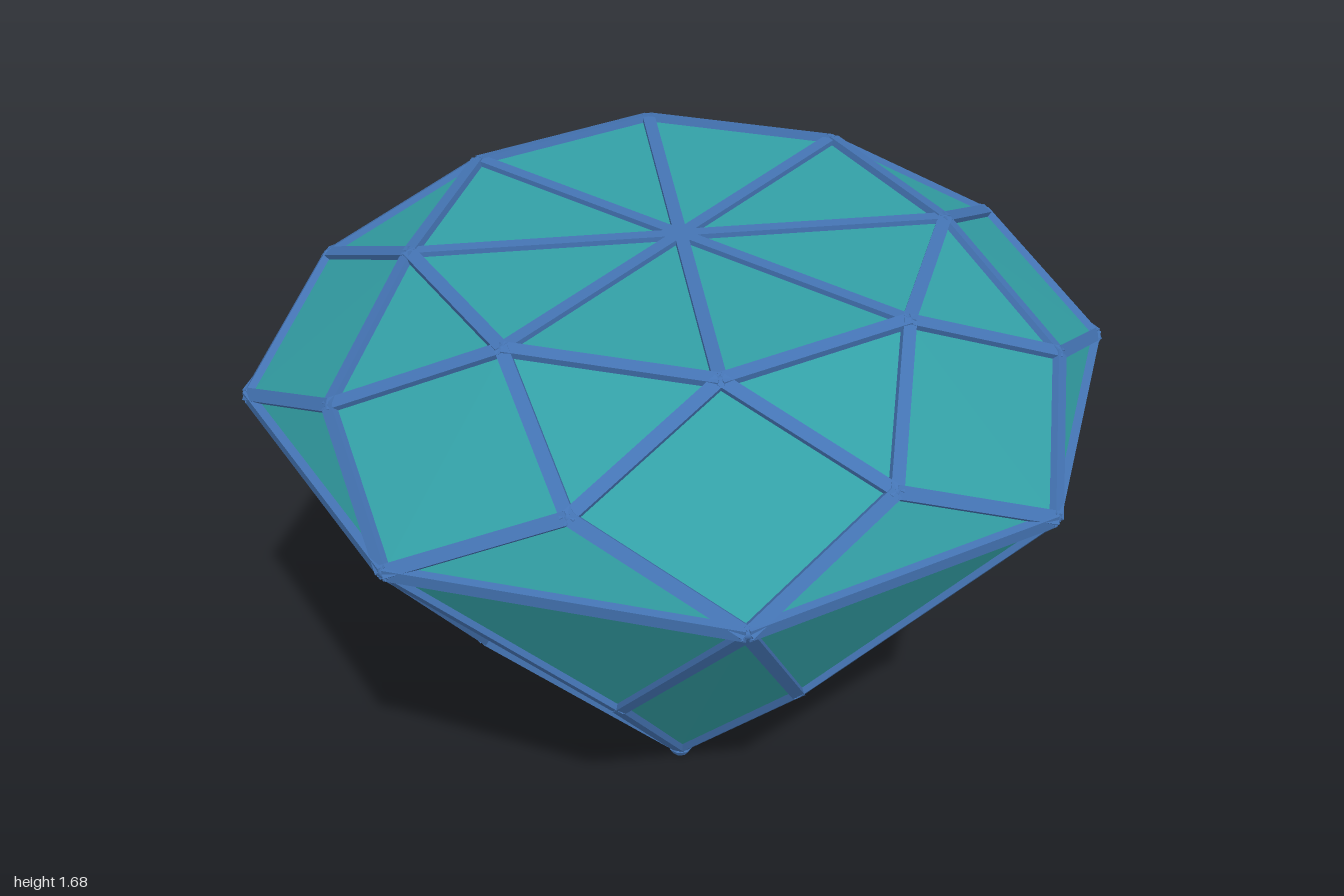
import * as THREE from 'three';

const SIDES = 8;
const STRUT_WIDTH = 0.032;
const STRUT_DEPTH = 0.026;

// Ring of eight points; shift 0.5 turns it by half a facet
function ring(radius, y, shift) {
  return Array.from({ length: SIDES }, (_, i) => {
    const a = ((i + shift) / SIDES) * Math.PI * 2;
    return new THREE.Vector3(Math.sin(a) * radius, y, Math.cos(a) * radius);
  });
}

// Outward unit normal of a facet, reversing its corners if needed
function orient(face) {
  const n = new THREE.Plane().setFromCoplanarPoints(face[0], face[1], face[2]).normal;
  if (n.dot(face[0].clone().sub(new THREE.Vector3(0, 1, 0))) < 0) {
    face.reverse();
    n.negate();
  }
  return n;
}

function facetMesh(name, faces, material) {
  const points = [];
  for (const f of faces) {
    for (let i = 1; i < f.length - 1; i++) points.push(f[0], f[i], f[i + 1]);
  }
  const geometry = new THREE.BufferGeometry().setFromPoints(points);
  geometry.computeVertexNormals();
  const mesh = new THREE.Mesh(geometry, material);
  mesh.name = name;
  return mesh;
}

// Flat bar along an edge, its broad side facing the outward direction
function strut(a, b, outward, material) {
  const along = b.clone().sub(a);
  const length = along.length();
  along.normalize();
  const out = outward.clone().addScaledVector(along, -outward.dot(along)).normalize();
  const across = new THREE.Vector3().crossVectors(along, out);
  const mesh = new THREE.Mesh(new THREE.BoxGeometry(STRUT_WIDTH, length, STRUT_DEPTH), material);
  mesh.quaternion.setFromRotationMatrix(new THREE.Matrix4().makeBasis(across, along, out));
  mesh.position.copy(a).add(b).multiplyScalar(0.5);
  mesh.name = 'edgeStrut';
  return mesh;
}

export function createModel() {
  const gemTeal = new THREE.MeshStandardMaterial({ color: 0x33a0a6 });
  gemTeal.name = 'gemTeal';
  const edgeBlue = new THREE.MeshStandardMaterial({ color: 0x4474b4 });
  edgeBlue.name = 'edgeBlue';

  const centre = new THREE.Vector3(0, 1.662, 0);
  const tip = new THREE.Vector3(0, 0.01, 0);
  const table = ring(0.648, 1.662, 0.5);
  const crown = ring(0.925, 1.48, 0);
  const girdle = ring(1.068, 1.3, 0.5);
  const lower = ring(0.583, 0.655, 0);

  // Facets of one eighth, repeated around
  const parts = { table: [], crown: [], pavilion: [] };
  for (let i = 0; i < SIDES; i++) {
    const p = (i + SIDES - 1) % SIDES;
    const n = (i + 1) % SIDES;
    parts.table.push([centre, table[p], table[i]]);
    parts.crown.push(
      [table[p], crown[i], table[i]],
      [table[i], crown[i], girdle[i], crown[n]],
      [crown[i], girdle[p], girdle[i]],
    );
    parts.pavilion.push(
      [girdle[p], lower[i], girdle[i]],
      [girdle[i], lower[i], tip, lower[n]],
    );
  }

  // Every facet border becomes one edge facing between its two facets
  const vertices = [centre, tip, ...table, ...crown, ...girdle, ...lower];
  const edges = new Map();
  for (const face of Object.values(parts).flat()) {
    const normal = orient(face);
    face.forEach((a, i) => {
      const b = face[(i + 1) % face.length];
      const key = [vertices.indexOf(a), vertices.indexOf(b)].sort((u, v) => u - v).join('-');
      if (!edges.has(key)) edges.set(key, { a, b, outward: new THREE.Vector3() });
      edges.get(key).outward.add(normal);
    });
  }

  const model = new THREE.Group();
  model.name = 'gem';
  for (const [name, faces] of Object.entries(parts)) {
    model.add(facetMesh(name + 'Facets', faces, gemTeal));
  }

  const frame = new THREE.Group();
  frame.name = 'edgeFrame';
  for (const { a, b, outward } of edges.values()) frame.add(strut(a, b, outward, edgeBlue));

  // Small joints fill the corners between struts
  const jointGeometry = new THREE.SphereGeometry(0.0145, 8, 6);
  for (const v of vertices) {
    if (v === tip || v === centre) continue;
    const joint = new THREE.Mesh(jointGeometry, edgeBlue);
    joint.position.copy(v);
    joint.name = 'cornerJoint';
    frame.add(joint);
  }

  // Blunt foot at the tip
  const foot = new THREE.Mesh(new THREE.CylinderGeometry(0.034, 0.024, 0.018, SIDES), edgeBlue);
  foot.position.y = 0.009;
  foot.name = 'tipFoot';
  frame.add(foot);

  model.add(frame);
  return model;
}
